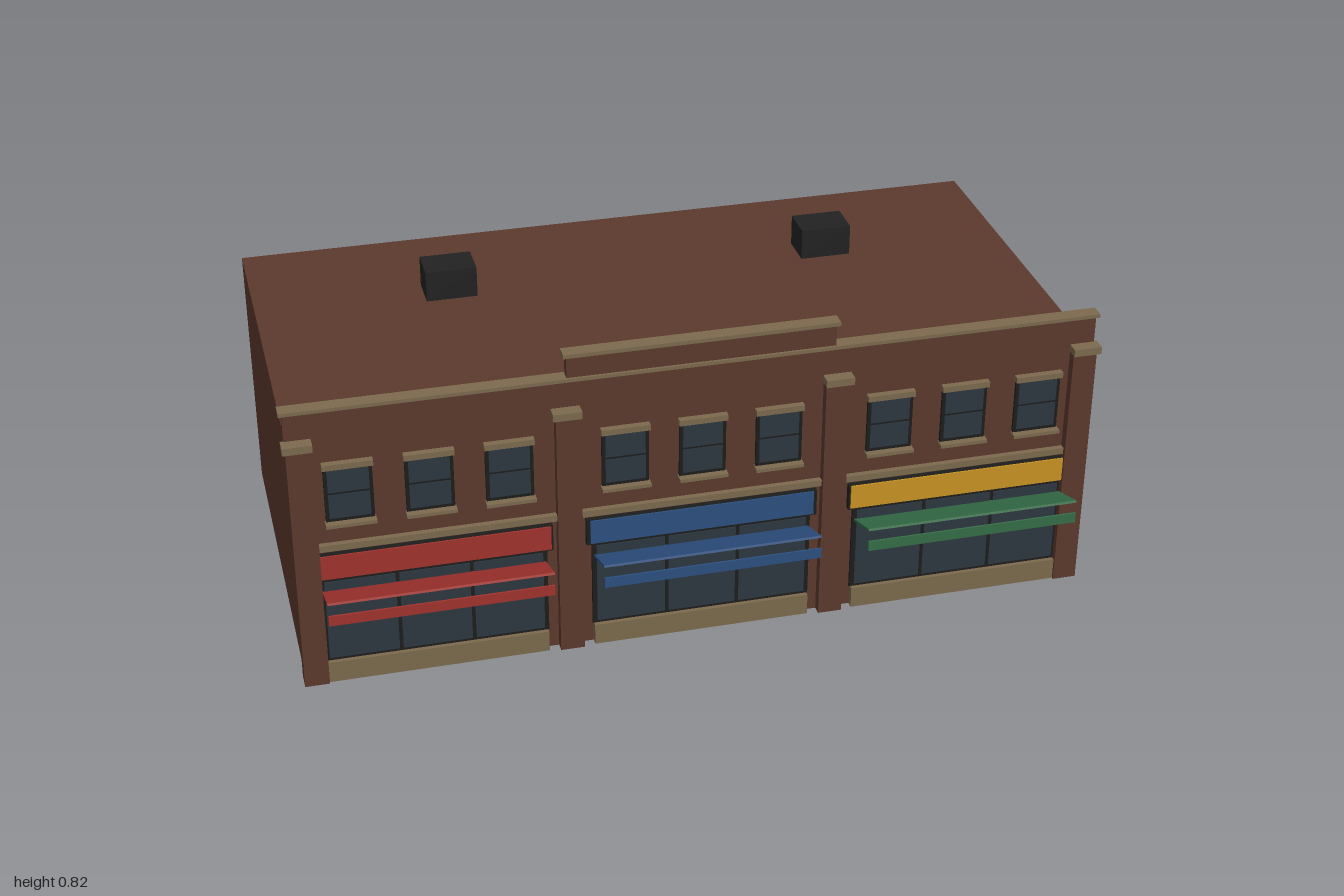
import * as THREE from 'three';

const mat = (name, color) => Object.assign(new THREE.MeshStandardMaterial({ color }), { name });

export function createModel() {
  const brick = mat('brick', 0x5c3a2d);
  const stone = mat('stone', 0x7d6a4e);
  const frame = mat('darkFrame', 0x1d1d1c);
  const vent = mat('roofUnitBlack', 0x222222);
  const glass = mat('glass', 0x2d3640);
  const red = mat('red', 0xa2332e);
  const blue = mat('blue', 0x2c5080);
  const yellow = mat('yellow', 0xc99423);
  const green = mat('green', 0x356e48);

  const model = new THREE.Group();
  model.name = 'shopBuilding';

  // Box given by its extents on each axis
  function box(parent, name, material, [x0, x1], [y0, y1], [z0, z1]) {
    const mesh = new THREE.Mesh(new THREE.BoxGeometry(x1 - x0, y1 - y0, z1 - z0), material);
    mesh.position.set((x0 + x1) / 2, (y0 + y1) / 2, (z0 + z1) / 2);
    mesh.name = name;
    parent.add(mesh);
    return mesh;
  }
  const span = (c, w) => [c - w / 2, c + w / 2];

  // Main block
  box(model, 'body', brick, [-0.985, 0.985], [0, 0.66], [-0.555, 0.432]);

  // Parapet with stone copings and a raised centre
  box(model, 'parapet', brick, [-0.99, 0.99], [0.655, 0.743], [0.41, 0.433]);
  box(model, 'parapetCoping', stone, [-0.998, 0.998], [0.743, 0.752], [0.402, 0.439]);
  box(model, 'raisedParapet', brick, [-0.328, 0.328], [0.752, 0.806], [0.41, 0.433]);
  box(model, 'raisedCoping', stone, [-0.336, 0.336], [0.806, 0.816], [0.402, 0.439]);

  // Pilasters and capitals
  for (const x of [-0.96, -0.33, 0.33, 0.96]) {
    box(model, 'pilaster', brick, span(x, 0.06), [0, 0.656], [0.41, 0.456]);
    box(model, 'capital', stone, span(Math.sign(x) * (Math.abs(x) + 0.003), 0.07), [0.656, 0.675], [0.43, 0.465]);
  }

  // Rooftop units
  for (const x of [-0.493, 0.493]) {
    box(model, 'roofUnit', vent, span(x, 0.13), [0.67, 0.75], [-0.272, -0.178]);
  }

  // Upper sash window
  function addWindow(parent, x) {
    const win = new THREE.Group();
    win.name = 'upperWindow';
    parent.add(win);
    box(win, 'windowFrame', frame, span(x, 0.115), [0.447, 0.592], [0.43, 0.439]);
    for (const y of [[0.457, 0.521], [0.527, 0.588]]) {
      box(win, 'windowPane', glass, span(x, 0.098), y, [0.437, 0.441]);
    }
    box(win, 'windowLintel', stone, span(x, 0.12), [0.592, 0.607], [0.43, 0.449]);
    box(win, 'windowSill', stone, span(x, 0.12), [0.439, 0.448], [0.43, 0.457]);
  }

  // One shop bay: windows, string course, sign, shopfront and awning
  function addBay(x, sign, awning, signShift) {
    const bay = new THREE.Group();
    bay.name = 'shopBay';
    model.add(bay);
    for (const dx of [-0.19, 0, 0.19]) addWindow(bay, x + dx);
    box(bay, 'stringCourse', stone, span(x, 0.6), [0.37, 0.387], [0.43, 0.446]);
    box(bay, 'signBacking', frame, span(x, 0.578), [0.29, 0.36], [0.43, 0.446]);
    box(bay, 'signBoard', sign, span(x + signShift, 0.56), [0.295, 0.359], [0.444, 0.45]);

    box(bay, 'shopFrame', frame, span(x, 0.55), [0.055, 0.292], [0.43, 0.439]);
    for (const dx of [-0.179, 0, 0.179]) {
      box(bay, 'shopPane', glass, span(x + dx, 0.17), [0.064, 0.282], [0.437, 0.442]);
    }
    box(bay, 'kneeWall', stone, span(x, 0.545), [0, 0.056], [0.43, 0.45]);

    // Awning slopes up and outward, with a hanging valance
    const slab = box(bay, 'awning', awning, span(x, 0.54), span(0.2735, 0.006), span(0.495, 0.119));
    slab.rotation.x = -0.345;
    box(bay, 'awningValance', awning, span(x, 0.54), [0.235, 0.262], [0.55, 0.555]);
  }
  addBay(-0.66, red, red, 0.004);
  addBay(0, blue, blue, 0);
  addBay(0.66, yellow, green, -0.004);

  return model;
}
